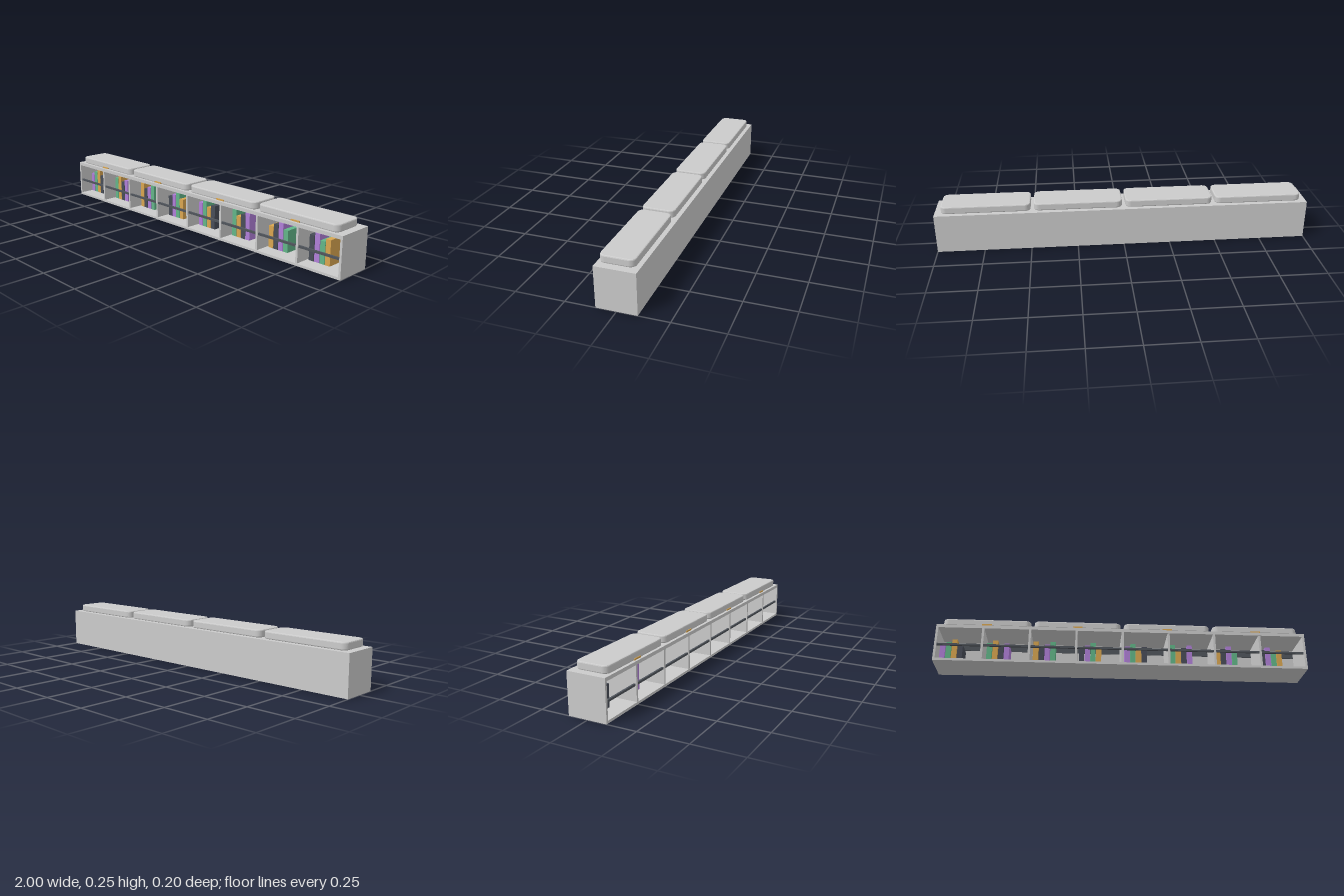
import * as THREE from 'three';

const mat = (color = 0xcccccc) => new THREE.MeshStandardMaterial({ color });
const grey = mat();
const dark = mat(0x50555c);
const gold = mat(0xd9a650);
const bookMats = [mat(0xb07fd8), mat(0x62b588), gold, mat(0x484d58)];

// Box given by its lower and upper corners
function box(parent, name, material, [x0, y0, z0], [x1, y1, z1]) {
  const mesh = new THREE.Mesh(new THREE.BoxGeometry(x1 - x0, y1 - y0, z1 - z0), material);
  mesh.position.set((x0 + x1) / 2, (y0 + y1) / 2, (z0 + z1) / 2);
  mesh.name = name;
  parent.add(mesh);
  return mesh;
}

// Flat pad with rounded plan corners and a small bevel, resting on y = 0
function cushionGeometry(w, h, d, r, bevel) {
  const x = w / 2 - bevel, y = d / 2 - bevel, c = r - bevel;
  const s = new THREE.Shape();
  s.absarc(x - c, y - c, c, 0, Math.PI / 2);
  s.absarc(-x + c, y - c, c, Math.PI / 2, Math.PI);
  s.absarc(-x + c, -y + c, c, Math.PI, Math.PI * 1.5);
  s.absarc(x - c, -y + c, c, Math.PI * 1.5, Math.PI * 2);
  const g = new THREE.ExtrudeGeometry(s, {
    depth: h - 2 * bevel, bevelEnabled: true, bevelSize: bevel,
    bevelThickness: bevel, bevelSegments: 2, curveSegments: 5,
  });
  return g.rotateX(-Math.PI / 2).translate(0, bevel, 0);
}

export function createModel() {
  const model = new THREE.Group();
  model.name = 'bookcaseBench';

  // Carcass
  const t = 0.012, bays = 8, pitch = 2 / bays;
  const carcass = new THREE.Group();
  carcass.name = 'carcass';
  model.add(carcass);
  box(carcass, 'bottomPanel', grey, [-1 + t, 0, -0.1], [1 - t, 0.013, 0.1]);
  box(carcass, 'seatBoard', grey, [-1 + t, 0.192, -0.1], [1 - t, 0.21, 0.1]);
  box(carcass, 'backPanel', grey, [-1 + t, 0.013, -0.1], [1 - t, 0.192, -0.093]);
  for (const s of [-1, 1]) {
    box(carcass, 'sidePanel', grey, [s * (1 - t / 2) - t / 2, 0, -0.1], [s * (1 - t / 2) + t / 2, 0.21, 0.1]);
  }
  for (let i = 1; i < bays; i++) {
    const x = -1 + i * pitch;
    box(carcass, 'divider', grey, [x - t / 2, 0.013, -0.093], [x + t / 2, 0.192, 0.098]);
  }
  // Long rail along the back of the bays
  box(carcass, 'backRail', dark, [-1 + t, 0.145, -0.098], [1 - t, 0.173, -0.09]);

  // Each bay: a retaining rail and a row of books, colours and heights cycling
  for (let b = 0; b < bays; b++) {
    const bay = new THREE.Group();
    bay.name = 'bay';
    bay.position.x = -1 + b * pitch;
    model.add(bay);
    box(bay, 'frontRail', dark, [t / 2, 0.091, 0.084], [pitch - t / 2, 0.102, 0.094]);
    for (let k = 0; k < 4; k++) {
      const x = 0.016 + k * 0.031;
      const top = 0.128 + ((b + k) % 3) * 0.015;
      box(bay, 'book', bookMats[(b + k) % 4], [x, 0.013, -0.085], [x + 0.028, top, 0.022]);
    }
  }

  // Seat cushions, each with a small tab at the front
  const pad = cushionGeometry(0.47, 0.039, 0.17, 0.03, 0.006);
  for (let i = 0; i < 4; i++) {
    const x = -0.733 + i * 0.488;
    const cushion = new THREE.Mesh(pad, grey);
    cushion.name = 'cushion';
    cushion.position.set(x, 0.211, 0.005);
    model.add(cushion);
    box(model, 'cushionTab', gold, [x - 0.026, 0.213, 0.08], [x + 0.026, 0.221, 0.094]);
  }

  return model;
}
